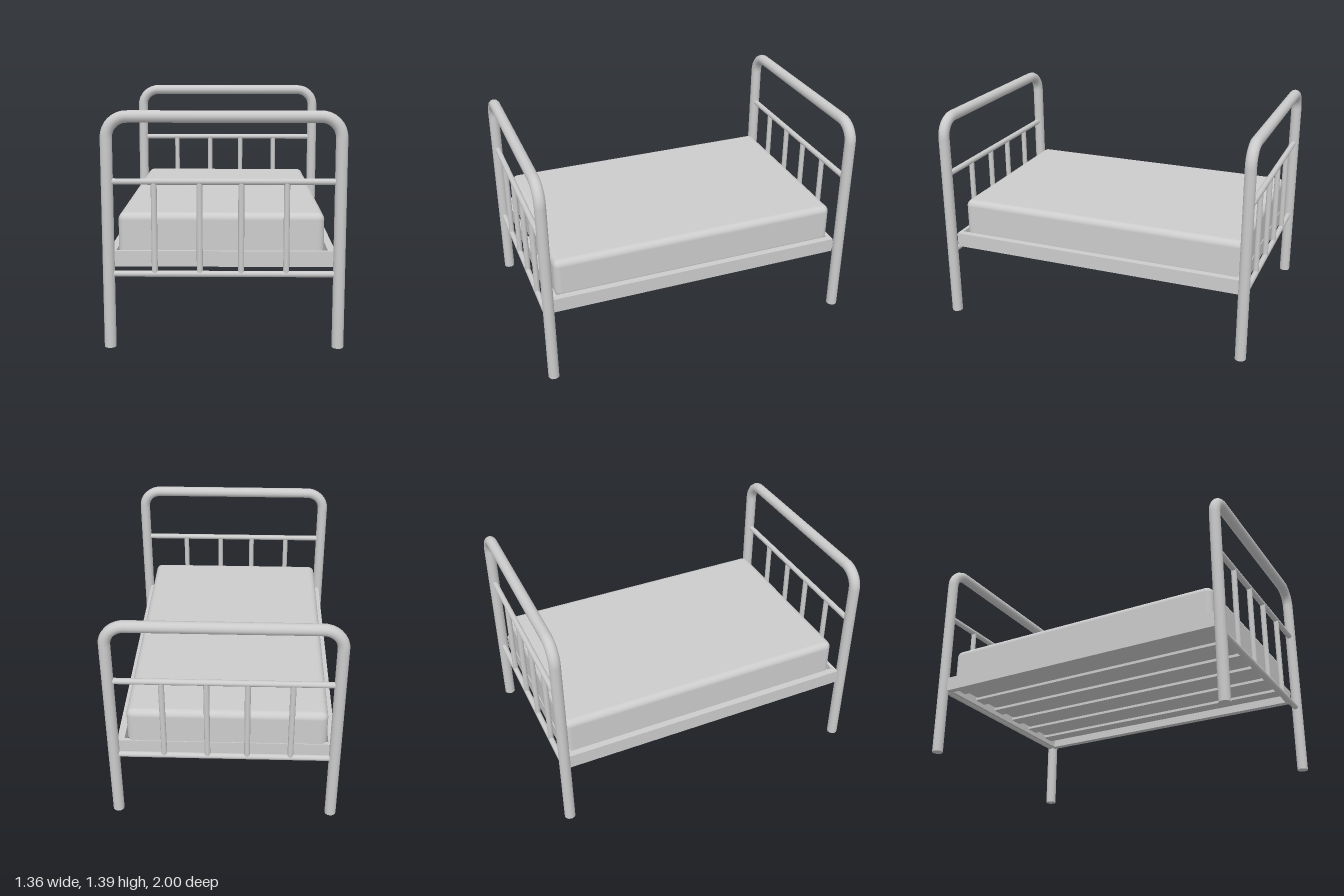
import * as THREE from 'three';
import { RoundedBoxGeometry } from 'three/addons/geometries/RoundedBoxGeometry.js';

const material = new THREE.MeshStandardMaterial({ color: 0xcccccc });

function add(parent, name, geometry, x = 0, y = 0, z = 0) {
  const mesh = new THREE.Mesh(geometry, material);
  mesh.name = name;
  mesh.position.set(x, y, z);
  parent.add(mesh);
  return mesh;
}

// Box given by its minimum and maximum on each axis
function addBox(parent, name, [x0, x1], [y0, y1], [z0, z1]) {
  return add(parent, name, new THREE.BoxGeometry(x1 - x0, y1 - y0, z1 - z0),
    (x0 + x1) / 2, (y0 + y1) / 2, (z0 + z1) / 2);
}

// Bent tube: up one leg, across the top and down the other
function hoopPath(halfWidth, height, bend) {
  const v = (x, y) => new THREE.Vector3(x, y, 0);
  const path = new THREE.CurvePath();
  const k = bend * 0.448;
  const w = halfWidth, h = height;
  path.add(new THREE.LineCurve3(v(-w, 0), v(-w, h - bend)));
  path.add(new THREE.CubicBezierCurve3(v(-w, h - bend), v(-w, h - k), v(-w + k, h), v(-w + bend, h)));
  path.add(new THREE.LineCurve3(v(-w + bend, h), v(w - bend, h)));
  path.add(new THREE.CubicBezierCurve3(v(w - bend, h), v(w - k, h), v(w, h - k), v(w, h - bend)));
  path.add(new THREE.LineCurve3(v(w, h - bend), v(w, 0)));
  return path;
}

// Head or foot end: hoop, two rails and four spindles
function createEnd(name) {
  const end = new THREE.Group();
  end.name = name;
  const legX = 0.647, radius = 0.034;
  add(end, 'hoop', new THREE.TubeGeometry(hoopPath(legX, 1.311, 0.115), 160, radius, 12, false));
  for (const side of [-1, 1]) {
    const cap = add(end, 'legCap', new THREE.CircleGeometry(radius, 12), side * legX, 0, 0);
    cap.rotation.x = Math.PI / 2;
  }
  for (const y of [0.427, 0.952]) {
    const rail = add(end, 'crossRail', new THREE.CylinderGeometry(0.018, 0.018, 1.25, 12), 0, y, 0);
    rail.rotation.z = Math.PI / 2;
  }
  for (const x of [-0.388, -0.135, 0.097, 0.35]) {
    add(end, 'spindle', new THREE.CylinderGeometry(0.017, 0.017, 0.51, 12), x, 0.69, 0);
  }
  return end;
}

export function createModel() {
  const bed = new THREE.Group();
  bed.name = 'bed';

  // Foot and head ends; the head sits slightly higher
  const foot = createEnd('footboard');
  foot.position.z = 0.967;
  const head = createEnd('headboard');
  head.position.set(0, 0.05, -0.967);
  bed.add(foot, head);

  // Frame around the mattress
  const frame = new THREE.Group();
  frame.name = 'frame';
  bed.add(frame);
  const height = [0.46, 0.55];
  addBox(frame, 'sideRail', [-0.652, -0.61], height, [-0.935, 0.935]);
  addBox(frame, 'sideRail', [0.588, 0.63], height, [-0.935, 0.935]);
  addBox(frame, 'footRail', [-0.61, 0.588], height, [0.912, 0.935]);
  addBox(frame, 'headRail', [-0.61, 0.588], height, [-0.935, -0.912]);

  // Lengthwise slats
  for (let i = 0; i < 6; i++) {
    const x = -0.54 + i * 0.206;
    addBox(frame, 'slat', [x - 0.045, x + 0.045], [0.488, 0.508], [-0.912, 0.912]);
  }

  // Mattress with soft edges
  add(bed, 'mattress', new RoundedBoxGeometry(1.17, 0.255, 1.83, 4, 0.04), -0.016, 0.6325, -0.015);
  return bed;
}
